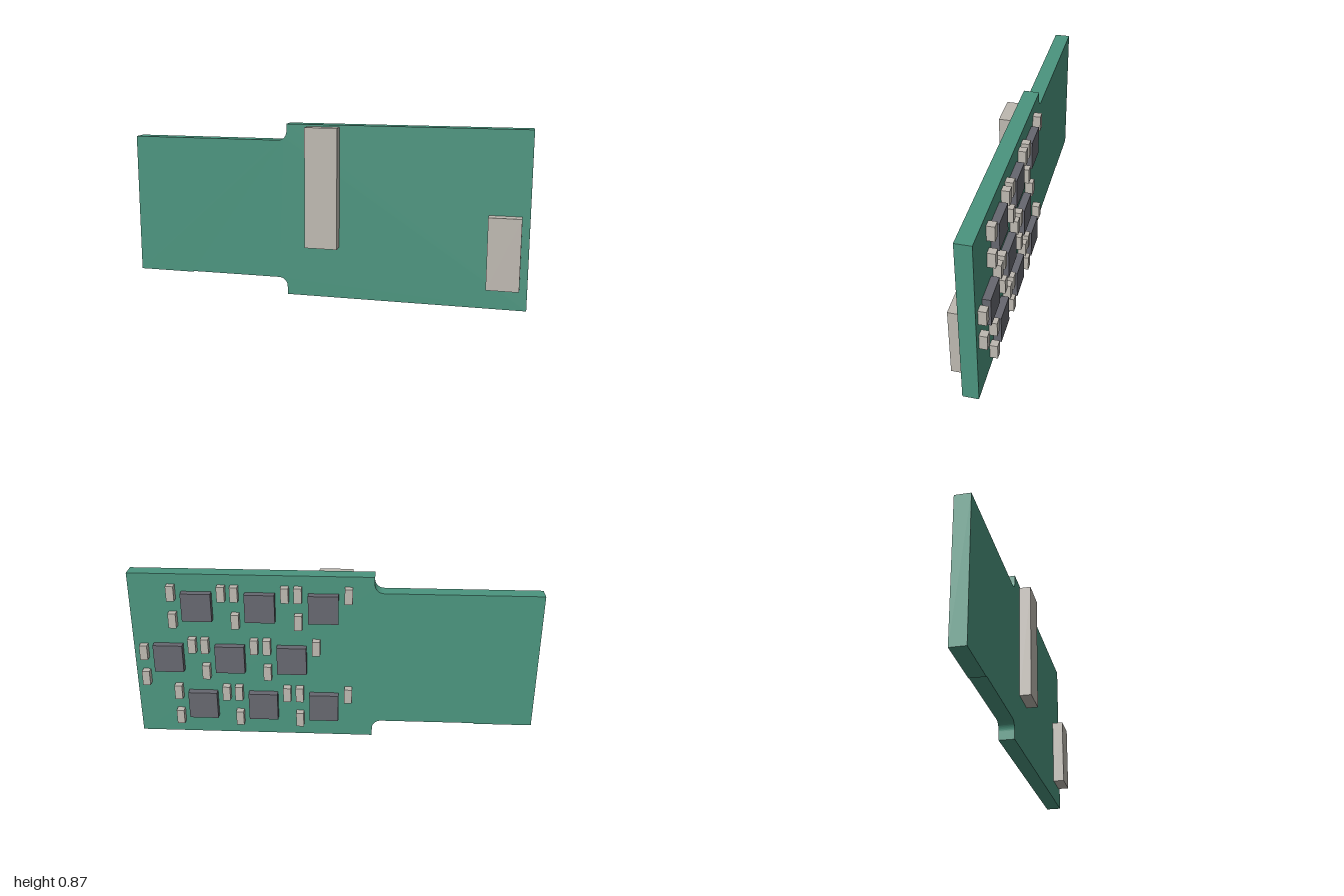
import * as THREE from 'three';

const BACK = -0.047, FRONT = 0.029;

export function createModel() {
  const model = new THREE.Group();
  const mat = (name, color) => {
    const m = new THREE.MeshStandardMaterial({ color });
    m.name = name;
    return m;
  };
  const green = mat('board green', 0x4b947e);
  const beige = mat('component beige', 0xbdb8b0);
  const grey = mat('chip grey', 0x66676f);

  // Box given by its x, y and z extents
  const block = (parent, name, material, [x0, x1], [y0, y1], [z0, z1]) => {
    const mesh = new THREE.Mesh(new THREE.BoxGeometry(x1 - x0, y1 - y0, z1 - z0), material);
    mesh.position.set((x0 + x1) / 2, (y0 + y1) / 2, (z0 + z1) / 2);
    mesh.name = name;
    parent.add(mesh);
  };

  // Circuit board: wide body, narrower tongue, rounded inner corners
  const r = 0.045, step = -0.192, top = 0.872, high = 0.79, low = 0.087;
  const s = new THREE.Shape();
  s.moveTo(step, 0);
  s.lineTo(1, 0);
  s.lineTo(1, top);
  s.lineTo(step, top);
  s.lineTo(step, high + r);
  s.absarc(step - r, high + r, r, 0, -Math.PI / 2, true);
  s.lineTo(-1, high);
  s.lineTo(-1, low - 0.004);
  s.lineTo(-0.71, low - 0.004);
  s.lineTo(-0.71, low);
  s.lineTo(step - r, low);
  s.absarc(step - r, low - r, r, Math.PI / 2, 0, true);
  s.closePath();
  const boardGeo = new THREE.ExtrudeGeometry(s, { depth: FRONT - BACK, bevelEnabled: false, curveSegments: 12 });
  boardGeo.translate(0, 0, BACK);
  const board = new THREE.Mesh(boardGeo, green);
  board.name = 'circuitBoard';
  model.add(board);

  // Connectors on the front
  block(model, 'longConnector', beige, [-0.085, 0.078], [0.262, 0.862], [FRONT, 0.086]);
  block(model, 'shortConnector', beige, [0.807, 0.963], [0.108, 0.461], [FRONT, 0.086]);

  // Chips on the back in three staggered rows, each with three small components
  const depth = [-0.084, BACK];
  const around = (c, half) => [c - half, c + half];
  const rows = [[0.667, 0.711], [0.825, 0.433], [0.667, 0.172]];
  rows.forEach(([startX, y], row) => {
    for (let col = 0; col < 3; col++) {
      const x = startX - col * 0.307;
      const unit = new THREE.Group();
      unit.name = `chipUnit${row + 1}_${col + 1}`;
      block(unit, 'chip', grey, around(x, 0.073), around(y, 0.072), depth);
      // The outermost pair of the middle row sits a little lower
      const capY = row === 1 && col === 0 ? y - 0.041 : y;
      const caps = [[0.122, capY + 0.071], [-0.122, y + 0.071], [0.122, capY - 0.071]];
      for (const [dx, cy] of caps) {
        block(unit, 'capacitor', beige, around(x + dx, 0.019), around(cy, 0.038), depth);
      }
      model.add(unit);
    }
  });
  return model;
}
